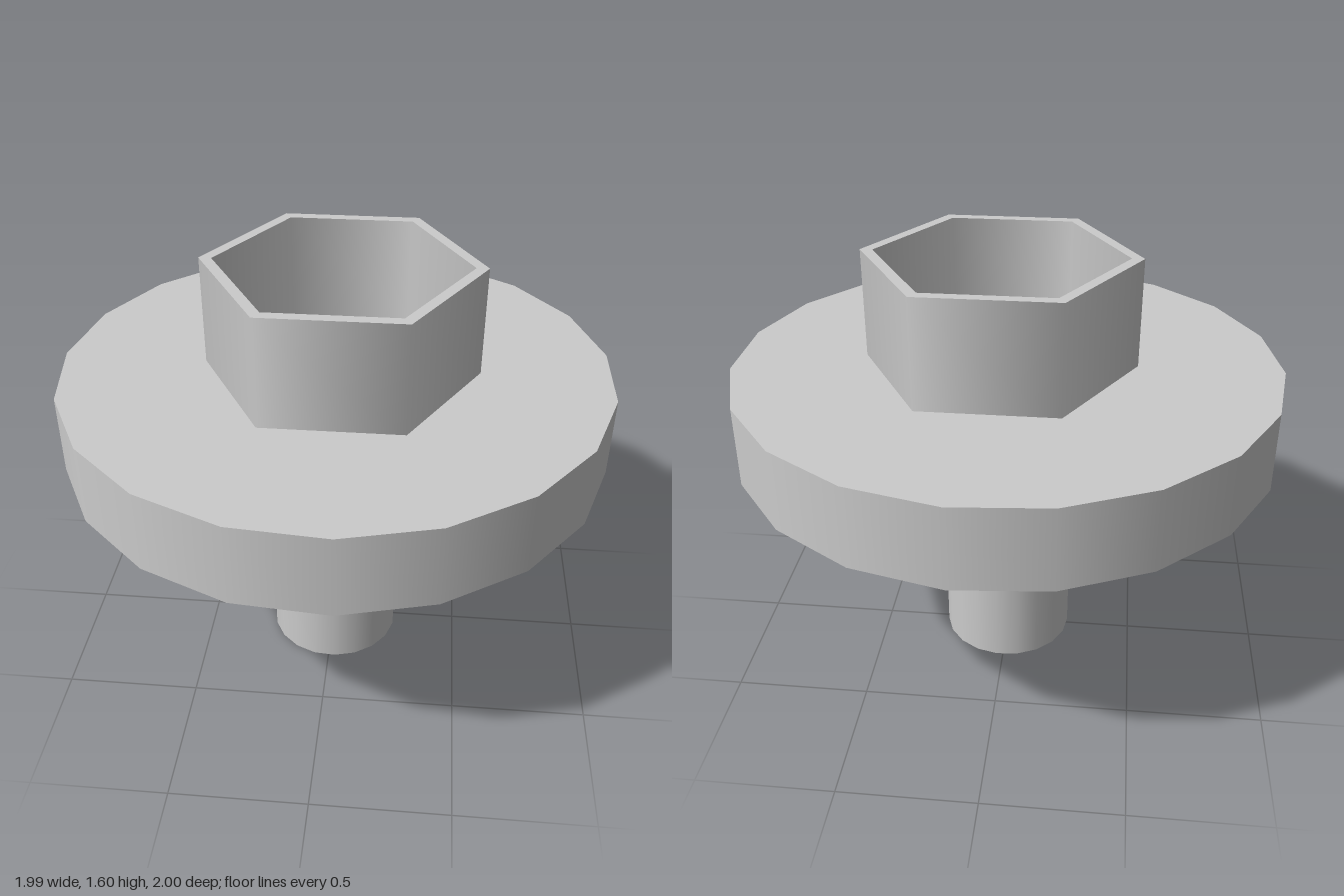
import * as THREE from 'three';
import { mergeGeometries } from 'three/addons/utils/BufferGeometryUtils.js';

const material = new THREE.MeshStandardMaterial({ color: 0xcccccc });

// Revolves a [radius, height] profile, smooth around and sharp between segments.
// Profiles run bottom to top on the outside.
function revolve(name, profile, sides, startAngle, x, z) {
  const bands = [];
  for (let i = 0; i < profile.length - 1; i++) {
    const pair = [profile[i], profile[i + 1]].map(([r, y]) => new THREE.Vector2(r, y));
    bands.push(new THREE.LatheGeometry(pair, sides, startAngle));
  }
  const mesh = new THREE.Mesh(mergeGeometries(bands), material);
  mesh.name = name;
  mesh.position.set(x, 0, z);
  return mesh;
}

export function createModel() {
  const model = new THREE.Group();
  model.name = 'flangedSocket';
  const left = Math.PI / 2, right = -Math.PI / 2;

  // Round stem
  model.add(revolve('stem', [[0, 0], [0.25, 0], [0.25, 0.9], [0, 0.9]], 19, right, 0.004, 0.022));

  // Wide faceted flange
  model.add(revolve('flange', [[0, 0.9], [1.003, 0.9], [1.003, 1.195], [0, 1.195]], 19, right, 0.005, 0));

  // Hollow hexagonal socket: outer wall, rim, inner wall, floor
  model.add(revolve('hexSocket',
    [[0.5, 1.19], [0.5, 1.6], [0.455, 1.6], [0.455, 1.197], [0, 1.197]], 6, left, 0.028, 0.007));

  return model;
}
